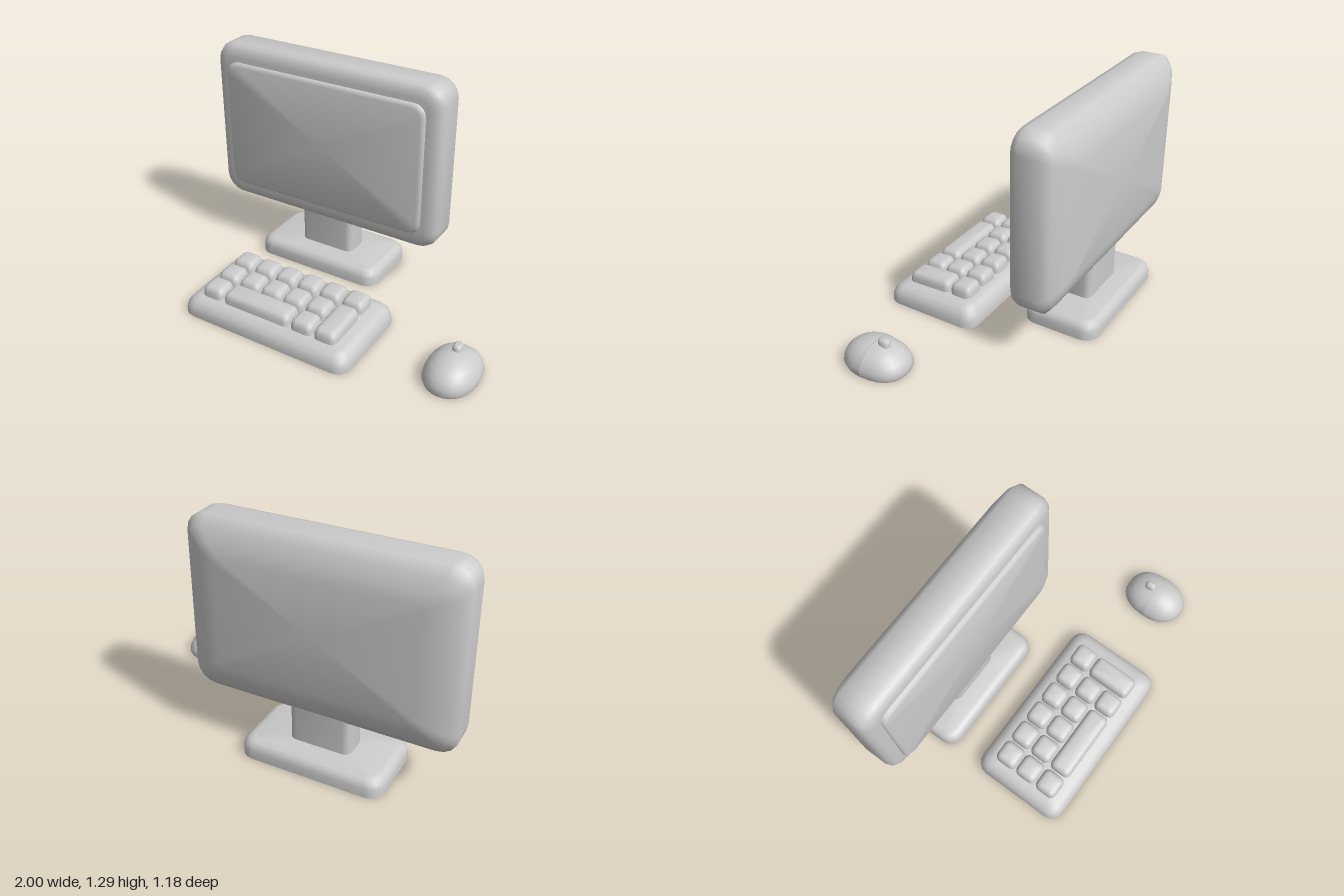
import * as THREE from 'three';
import { toCreasedNormals } from 'three/addons/utils/BufferGeometryUtils.js';

const material = new THREE.MeshStandardMaterial({ color: 0xcccccc });

// Skin a stack of equal-length rings (counter-clockwise from above, rising in y) and cap both ends.
function loft(rings) {
  const n = rings[0].length;
  const pos = rings.flat(2);
  const index = [];
  for (let i = 0; i < rings.length - 1; i++) {
    for (let j = 0; j < n; j++) {
      const a = i * n + j, b = i * n + (j + 1) % n;
      index.push(a, b, b + n, a, b + n, a + n);
    }
  }
  [0, rings.length - 1].forEach((r) => {
    const centre = pos.length / 3;
    for (let k = 0; k < 3; k++) pos.push(rings[r].reduce((s, p) => s + p[k], 0) / n);
    for (let j = 0; j < n; j++) {
      const a = r * n + j, b = r * n + (j + 1) % n;
      if (r) index.push(centre, a, b);
      else index.push(centre, b, a);
    }
  });
  const g = new THREE.BufferGeometry();
  g.setAttribute('position', new THREE.Float32BufferAttribute(pos, 3));
  g.setIndex(index);
  return g;
}

// Rounded rectangle ring: half width, half depth, corner radius, height.
function rectRing(hw, hd, r, y, segments = 4) {
  const ring = [];
  for (let c = 0; c < 4; c++) {
    const sx = c === 0 || c === 3 ? 1 : -1, sz = c < 2 ? -1 : 1;
    for (let s = 0; s <= segments; s++) {
      const a = (c + s / segments) * Math.PI / 2;
      ring.push([sx * (hw - r) + r * Math.cos(a), y, sz * (hd - r) - r * Math.sin(a)]);
    }
  }
  return ring;
}

// Block from levels of [height, inset]; the corner radius shrinks with the inset.
function block(hw, hd, r, levels) {
  return loft(levels.map(([y, inset]) =>
    rectRing(hw - inset, hd - inset, Math.max(r - inset * 0.6, 0.008), y)));
}

function add(parent, name, geometry, x = 0, y = 0, z = 0) {
  const mesh = new THREE.Mesh(toCreasedNormals(geometry, 1.0), material);
  mesh.name = name;
  mesh.position.set(x, y, z);
  parent.add(mesh);
  return mesh;
}

function createMonitor() {
  const g = new THREE.Group();
  g.name = 'monitor';
  const cx = -0.265, cy = 0.793;

  // Housing: [z, half width, half height, corner radius] from back to front
  const housing = loft([
    [-0.54, 0.535, 0.31, 0.03],
    [-0.522, 0.62, 0.375, 0.05],
    [-0.49, 0.7, 0.44, 0.08],
    [-0.45, 0.735, 0.4925, 0.11],
    [-0.315, 0.735, 0.4925, 0.11],
    [-0.283, 0.724, 0.482, 0.105],
    [-0.262, 0.697, 0.455, 0.09],
    [-0.255, 0.66, 0.418, 0.07],
  ].map(([z, hw, hh, r]) => rectRing(hw, hh, r, z))).rotateX(Math.PI / 2);
  add(g, 'housing', housing, cx, cy, 0);

  const screen = block(0.643, 0.392, 0.07,
    [[-0.28, 0], [-0.247, 0], [-0.236, 0.006], [-0.23, 0.022]]).rotateX(Math.PI / 2);
  add(g, 'screen', screen, cx, cy, 0);

  add(g, 'neck', block(0.174, 0.082, 0.04, [[0.08, 0], [0.4, 0]]), cx, 0, -0.373);
  add(g, 'base', block(0.405, 0.22, 0.08,
    [[0, 0], [0.05, 0], [0.075, 0.008], [0.093, 0.025], [0.1, 0.05]]), cx, 0, -0.375);
  return g;
}

function createKeyboard() {
  const g = new THREE.Group();
  g.name = 'keyboard';

  // Lower everything gradually toward the front edge
  const slope = (geometry) => {
    const p = geometry.attributes.position;
    for (let i = 0; i < p.count; i++) p.setY(i, p.getY(i) * (1 - 0.3 * (p.getZ(i) - 0.1)));
    return geometry;
  };

  add(g, 'keyboardBody', slope(block(0.53, 0.2875, 0.075,
    [[0, 0], [0.04, 0], [0.075, 0.012], [0.102, 0.033], [0.116, 0.065]]).translate(-0.14, 0, 0.3025)));

  // Keys span whole columns and rows of a regular grid
  const pitchX = 0.147, pitchZ = 0.14;
  const key = (name, col, row, cols = 1, rows = 1) => {
    const hw = (cols * pitchX - 0.013) / 2, hd = (rows * pitchZ - 0.008) / 2;
    const x = -0.583 + col * pitchX + hw, z = 0.097 + row * pitchZ + hd;
    add(g, name, slope(block(hw, hd, 0.032,
      [[0.07, 0], [0.145, 0], [0.17, 0.008], [0.18, 0.018], [0.184, 0.032]]).translate(x, 0, z)));
  };
  for (let c = 0; c < 6; c++) key('key', c, 0);
  for (let c = 0; c < 5; c++) key('key', c, 1);
  key('key', 0, 2);
  key('spaceBar', 1, 2, 3);
  key('key', 4, 2);
  key('enterKey', 5, 1, 1, 2);
  return g;
}

function createMouse() {
  const g = new THREE.Group();
  g.name = 'mouse';
  // [height, footprint scale] of the dome
  const dome = [[0, 0.95], [0.022, 1], [0.05, 0.965], [0.08, 0.88],
    [0.108, 0.72], [0.13, 0.5], [0.141, 0.28], [0.146, 0.1]];

  // Half of the egg outline, closed by a straight wall across the middle
  const half = (side, length, power, lift, grow) => loft(dome.map(([y, s]) => {
    const ring = [];
    for (let i = 0; i <= 14; i++) {
      const a = (i / 14 + (side < 0 ? 0 : 1)) * Math.PI;
      const c = Math.cos(a), d = Math.sin(a);
      ring.push([
        0.146 * grow * s * Math.sign(c) * Math.abs(c) ** (2 / power),
        y * lift,
        -length * s * Math.sign(d) * Math.abs(d) ** (2 / power),
      ]);
    }
    return ring;
  }));
  add(g, 'mouseButtons', half(-1, 0.195, 2.4, 0.965, 0.99), 0.854, 0, 0.28);
  add(g, 'mouseBody', half(1, 0.188, 2.15, 1, 1), 0.854, 0, 0.28);
  add(g, 'scrollWheel', block(0.024, 0.034, 0.022,
    [[0.1, 0], [0.155, 0], [0.166, 0.006], [0.171, 0.014]]), 0.851, 0, 0.229);
  return g;
}

export function createModel() {
  const model = new THREE.Group();
  model.name = 'desktopComputer';
  model.add(createMonitor(), createKeyboard(), createMouse());
  return model;
}
